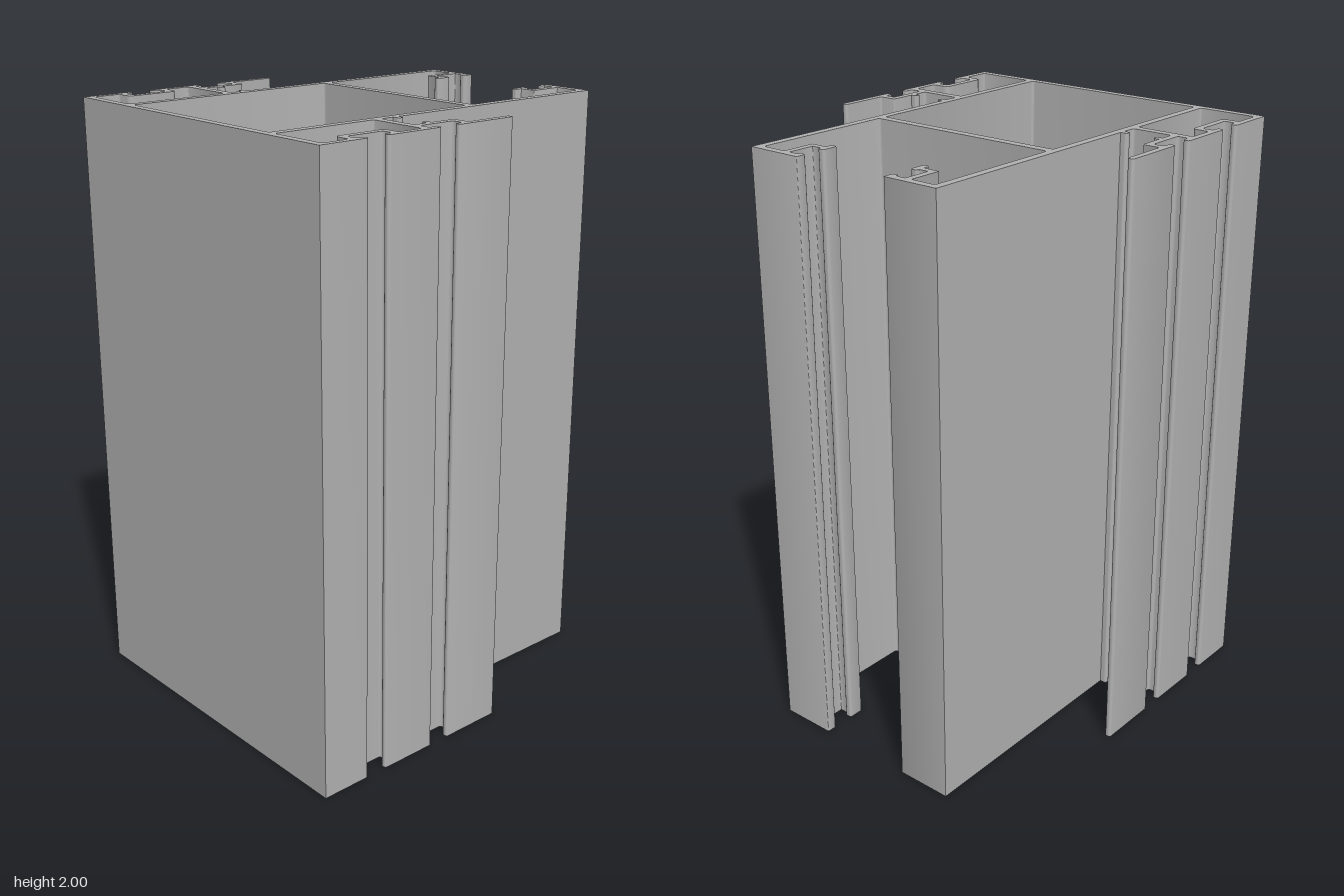
import * as THREE from 'three';
import { toCreasedNormals } from 'three/addons/utils/BufferGeometryUtils.js';

const HEIGHT = 2;
const FILLET = 0.01;

// Traces a closed polygon of [x, z, radius?] points with rounded corners.
function traceRounded(path, points) {
  const corners = points.map(([x, z]) => new THREE.Vector2(x, z));
  const n = corners.length;
  corners.forEach((corner, i) => {
    const prev = corners[(i + n - 1) % n];
    const next = corners[(i + 1) % n];
    const r = Math.min(
      points[i][2] ?? FILLET,
      corner.distanceTo(prev) * 0.48,
      corner.distanceTo(next) * 0.48
    );
    const start = corner.clone().add(prev.clone().sub(corner).setLength(r));
    const end = corner.clone().add(next.clone().sub(corner).setLength(r));
    if (i === 0) path.moveTo(start.x, start.y);
    else path.lineTo(start.x, start.y);
    if (r > 0) path.quadraticCurveTo(corner.x, corner.y, end.x, end.y);
  });
  path.closePath();
  return path;
}

const mirrored = (points) => points.map(([x, z, r]) => [x, -z, r]).reverse();

// Half of the outer contour, from the closed side round to the open channel.
const halfOutline = [
  // first cover flange and recessed slot
  [-0.665, 0.587, 0], [-0.492, 0.587], [-0.492, 0.565], [-0.52, 0.565],
  [-0.52, 0.528], [-0.39, 0.528], [-0.39, 0.565], [-0.42, 0.565],
  // middle flange and second slot
  [-0.42, 0.587], [-0.22, 0.587], [-0.22, 0.565], [-0.25, 0.565],
  [-0.25, 0.528], [-0.12, 0.528], [-0.12, 0.565], [-0.15, 0.565],
  // free flange and underside of the slot, with its small rib
  [-0.15, 0.587], [0.07, 0.587], [0.07, 0.565], [-0.096, 0.565],
  [-0.096, 0.505], [-0.182, 0.505, 0], [-0.182, 0.483], [-0.203, 0.483],
  [-0.203, 0.505, 0], [-0.25, 0.505],
  // main side wall with the facing rib
  [-0.25, 0.365], [-0.203, 0.365, 0], [-0.203, 0.389], [-0.182, 0.389],
  [-0.182, 0.365, 0], [0.663, 0.365, 0],
  // return lip and gasket groove
  [0.663, 0.172, 0.003], [0.626, 0.172], [0.626, 0.195], [0.637, 0.195, 0.003],
  [0.637, 0.229, 0.003], [0.545, 0.229, 0.003], [0.545, 0.195, 0.003],
  [0.556, 0.195], [0.556, 0.172], [0.499, 0.172], [0.499, 0.195],
  [0.524, 0.195, 0.003], [0.524, 0.252, 0.003], [0.637, 0.252, 0.003],
  // inside of the open channel
  [0.637, 0.338], [0.15, 0.338]
];

// Closed side chamber behind the first slot.
const sideChamber = [
  [-0.638, 0.365], [-0.278, 0.365], [-0.278, 0.565], [-0.365, 0.565],
  [-0.365, 0.505, 0.02], [-0.545, 0.505, 0.02], [-0.545, 0.565], [-0.638, 0.565]
];

// Large central chamber.
const mainChamber = [
  [-0.638, -0.338], [0.121, -0.338], [0.121, 0.338], [-0.638, 0.338]
];

export function createModel() {
  const aluminium = new THREE.MeshStandardMaterial({ color: 0xb2b2b2 });
  aluminium.name = 'aluminium';

  const section = traceRounded(new THREE.Shape(), [...halfOutline, ...mirrored(halfOutline)]);
  for (const hole of [mainChamber, sideChamber, mirrored(sideChamber)]) {
    section.holes.push(traceRounded(new THREE.Path(), hole));
  }

  const geometry = new THREE.ExtrudeGeometry(section, {
    depth: HEIGHT, bevelEnabled: false, curveSegments: 4
  });
  geometry.rotateX(-Math.PI / 2);

  const frame = new THREE.Mesh(toCreasedNormals(geometry, 0.6), aluminium);
  frame.name = 'extrudedFrameProfile';

  const model = new THREE.Group();
  model.name = 'windowFrameExtrusion';
  model.add(frame);
  return model;
}
